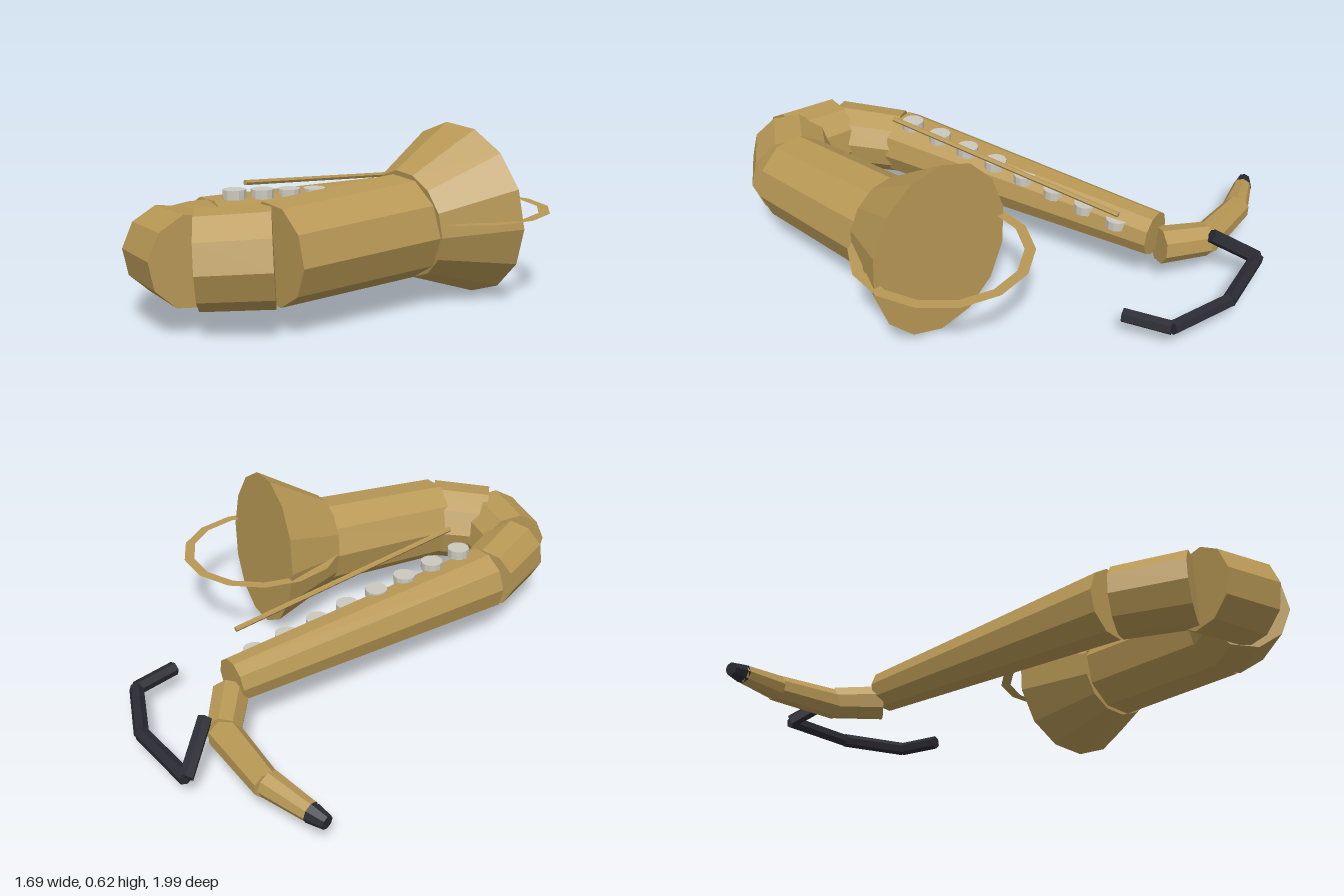
import * as THREE from 'three';

const make = (name, color) => {
  const m = new THREE.MeshStandardMaterial({ color, flatShading: true });
  m.name = name;
  return m;
};

export function createModel() {
  const group = new THREE.Group();
  const brass = make('brass', 0xb89855);
  const black = make('black', 0x2a2a33);
  const pearl = make('pearl', 0xcbc8be);
  const UP = new THREE.Vector3(0, 1, 0);

  // Faceted tube from point a (radius ra) to point b (radius rb)
  function tube(name, a, ra, b, rb, sides, material) {
    const start = new THREE.Vector3(...a);
    const dir = new THREE.Vector3(...b).sub(start);
    const length = dir.length();
    const geo = new THREE.CylinderGeometry(rb, ra, length, sides, 1, false, Math.PI / sides);
    const mesh = new THREE.Mesh(geo, material);
    mesh.name = name;
    mesh.position.copy(start).addScaledVector(dir, 0.5);
    mesh.quaternion.setFromUnitVectors(UP, dir.normalize());
    group.add(mesh);
    return mesh;
  }

  // Main body and the bow that turns up into the bell
  tube('body', [-0.14, 0.22, -0.635], 0.084, [-0.062, 0.23, 0.535], 0.13, 10, brass);
  tube('bowLower', [-0.062, 0.228, 0.55], 0.128, [0.057, 0.235, 0.795], 0.135, 10, brass);
  tube('bowMiddle', [0.07, 0.24, 0.797], 0.15, [0.302, 0.245, 0.845], 0.155, 10, brass);
  tube('bowUpper', [0.295, 0.246, 0.83], 0.163, [0.45, 0.256, 0.645], 0.168, 10, brass);

  // Bell tube and flared bell
  tube('bellTube', [0.445, 0.26, 0.65], 0.17, [0.49, 0.28, 0.09], 0.182, 10, brass);
  tube('bell', [0.49, 0.285, 0.092], 0.19, [0.515, 0.313, -0.17], 0.312, 14, brass);

  // Flat ring crossing the bell mouth
  const ringMaterial = brass.clone();
  ringMaterial.side = THREE.DoubleSide;
  const ring = new THREE.Mesh(new THREE.RingGeometry(0.285, 0.325, 14, 1), ringMaterial);
  ring.name = 'bellRing';
  ring.rotation.x = -Math.PI / 2;
  ring.position.set(0.515, 0.313, -0.17);
  group.add(ring);

  // Neck and mouthpiece
  tube('neckBase', [-0.15, 0.17, -0.65], 0.07, [-0.31, 0.155, -0.755], 0.064, 8, brass);
  tube('neckMiddle', [-0.305, 0.148, -0.752], 0.06, [-0.605, 0.137, -0.742], 0.05, 8, brass);
  tube('neckTip', [-0.6, 0.137, -0.735], 0.05, [-0.785, 0.124, -0.675], 0.035, 8, brass);
  tube('mouthpiece', [-0.775, 0.125, -0.679], 0.037, [-0.838, 0.12, -0.656], 0.025, 8, black);

  // Bent strap made of straight bars
  const strap = [
    [-0.27, 0.21, -0.8], [-0.395, 0.1, -0.935], [-0.1, 0.1, -0.973],
    [0.155, 0.1, -0.89], [0.2, 0.1, -0.72],
  ];
  for (let i = 0; i < strap.length - 1; i++) {
    tube('strap' + (i + 1), strap[i], 0.027, strap[i + 1], 0.027, 6, black);
  }

  // Key rod beside the body
  tube('keyRod', [0.072, 0.42, 0.46], 0.01, [-0.012, 0.335, -0.55], 0.01, 6, brass);

  // Row of round keys
  for (let i = 0; i < 8; i++) {
    const t = i / 7;
    const z = -0.51 + 0.95 * t;
    const x = -0.075 + 0.058 * t;
    const y = 0.316 + 0.115 * z;
    tube('key' + (i + 1), [x, y - 0.018, z], 0.043, [x, y + 0.016, z], 0.043, 12, pearl);
  }

  return group;
}
